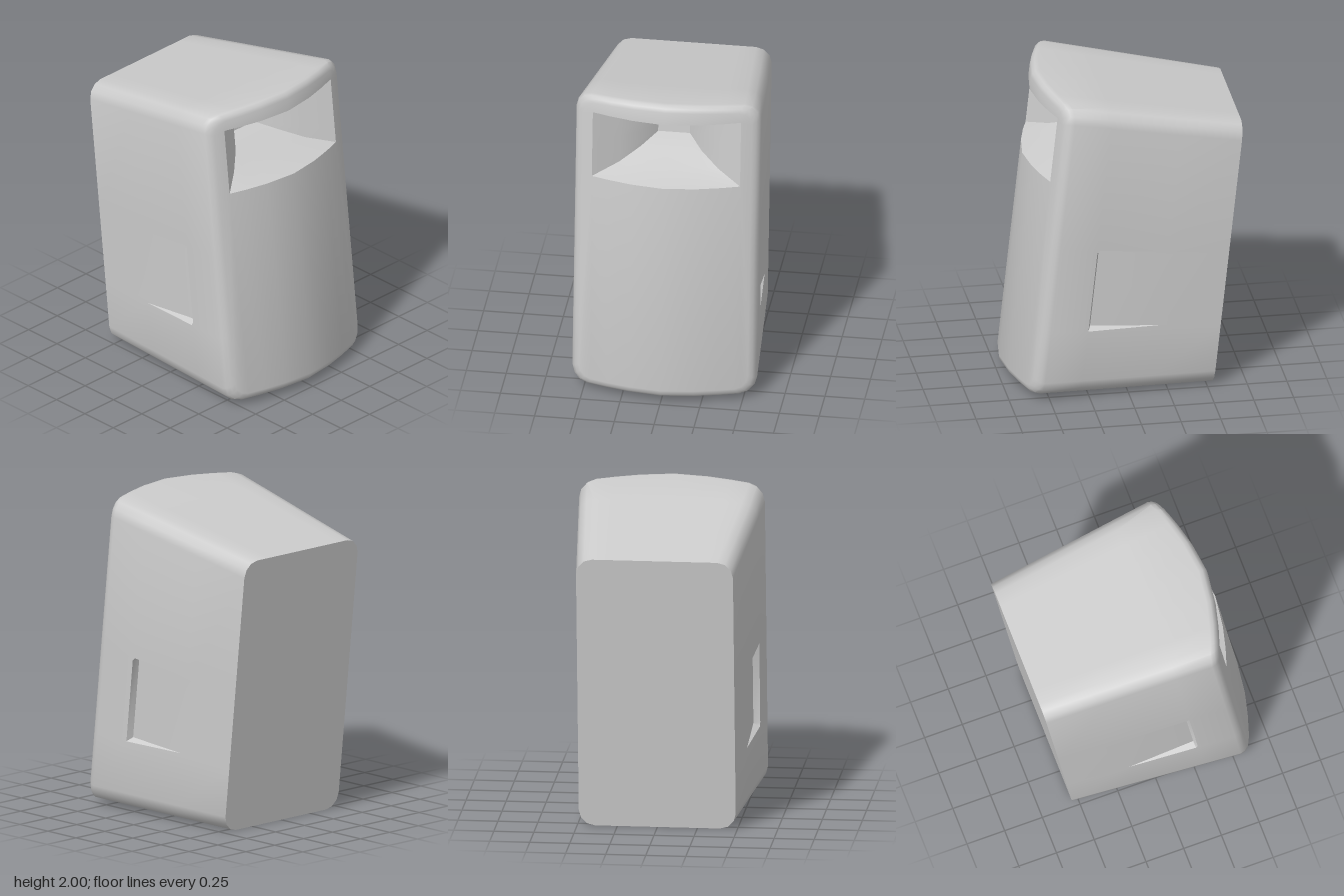
import * as THREE from 'three';
import { toCreasedNormals } from 'three/addons/utils/BufferGeometryUtils.js';

const LEAN = 0.108;                                        // backward lean of the cabinet
const faceDepth = x => 0.74 - 0.34 * Math.abs(x) ** 1.62;  // bowed front, depth before leaning
const halfWidth = d => Math.min(0.58, 0.49 + 0.0825 * (d + 0.54));
const bottomY = d => 0.0152 + 0.0282 * d;
const topY = d => 1.862 + 0.2025 * d;

// Section template: a rounded rectangle, counter-clockwise from the front.
// u, v place the point on the straight parts, cx, cy on the corner arcs.
const COLUMNS = [-0.75, -0.44, 0, 0.44, 0.75];
const ROWS = [-0.608, -0.581, 0.011, 0.031];
function makeTemplate() {
  const pts = [];
  const corner = (u, v, start) => {
    for (let k = 0; k <= 3; k++) {
      const a = start + k * Math.PI / 6;
      pts.push({ u, v, cx: Math.cos(a), cy: Math.sin(a) });
    }
  };
  const row = (side, r) => pts.push({ u: side, v: ROWS[r], cx: side, cy: 0, pocket: r === 1 || r === 2 });
  const column = (u, side) => pts.push({ u, v: side, cx: 0, cy: side });
  corner(1, -1, -Math.PI / 2);
  [0, 1, 2, 3].forEach(r => row(1, r));
  corner(1, 1, 0);
  [...COLUMNS].reverse().forEach(u => column(u, 1));
  corner(-1, 1, Math.PI / 2);
  [3, 2, 1, 0].forEach(r => row(-1, r));
  corner(-1, -1, Math.PI);
  COLUMNS.forEach(u => column(u, -1));
  return pts;
}
const TEMPLATE = makeTemplate();

// One ring of points; depth, low and high are functions
function ring({ hw, r, depth, low, high, pocket = 0 }) {
  return TEMPLATE.map(p => {
    let x = p.u * (hw - r) + p.cx * r;
    const d = depth(x), lo = low(d), hi = high(d);
    const y = (lo + hi) / 2 + p.v * ((hi - lo) / 2 - r) + p.cy * r;
    if (p.pocket) x -= Math.sign(x) * pocket;
    return [x, y, d - LEAN * y];
  });
}

// Skin a run of rings, optionally closing the first or last one
function skin(name, rings, material, capFirst, capLast) {
  const n = TEMPLATE.length, pos = rings.flat(2), index = [];
  for (let j = 0; j < rings.length - 1; j++) {
    for (let i = 0; i < n; i++) {
      const a = j * n + i, b = j * n + (i + 1) % n;
      index.push(a, b, a + n, b, b + n, a + n);
    }
  }
  const cap = (j, flip) => {
    const centre = pos.length / 3;
    for (let k = 0; k < 3; k++) pos.push(rings[j].reduce((s, p) => s + p[k], 0) / n);
    for (let i = 0; i < n; i++) {
      const a = j * n + i, b = j * n + (i + 1) % n;
      index.push(centre, flip ? b : a, flip ? a : b);
    }
  };
  if (capFirst) cap(0, true);
  if (capLast) cap(rings.length - 1, false);
  const geo = new THREE.BufferGeometry();
  geo.setAttribute('position', new THREE.Float32BufferAttribute(pos, 3));
  geo.setIndex(index);
  const mesh = new THREE.Mesh(toCreasedNormals(geo, 0.7), material);
  mesh.name = name;
  return mesh;
}

export function createModel() {
  const group = new THREE.Group();
  group.name = 'loudspeaker';
  const material = new THREE.MeshStandardMaterial({ color: 0xcccccc });
  const rings = [];

  // Tapered cabinet, with a hand pocket in each side that fades out toward the back
  for (const [d, pocket] of [[-0.54, 0], [-0.14, 0], [0.295, 0.04], [0.31, 0]]) {
    rings.push(ring({ hw: halfWidth(d), r: 0.1, depth: () => d, low: bottomY, high: topY, pocket }));
  }

  // Rounded rim running into the bowed front
  const bevel = 0.05;
  for (let k = 0; k <= 3; k++) {
    const a = k * Math.PI / 6, inset = bevel * (1 - Math.cos(a));
    rings.push(ring({
      hw: 0.58 - inset, r: 0.1 - inset * 0.4,
      depth: x => faceDepth(x) - bevel * (1 - Math.sin(a)),
      low: d => bottomY(d) + inset, high: d => topY(d) - inset,
    }));
  }

  // Front baffle, ending at the rectangular horn mouth
  const rect = (hw, low, high, depth) =>
    ring({ hw, r: 0, depth, low: () => low, high: () => high });
  const mouth = rect(0.465, 1.45, 1.88, faceDepth);
  rings.push(mouth);
  group.add(skin('cabinet', rings, material, true, false));

  // Flared horn narrowing to a small throat
  const horn = [mouth];
  for (const [hw, low, high, d] of [
    [0.31, 1.5, 1.83, 0.53], [0.19, 1.56, 1.75, 0.43], [0.1, 1.6, 1.655, 0.3],
  ]) horn.push(rect(hw, low, high, () => d));
  group.add(skin('horn', horn, material, false, true));

  return group;
}
